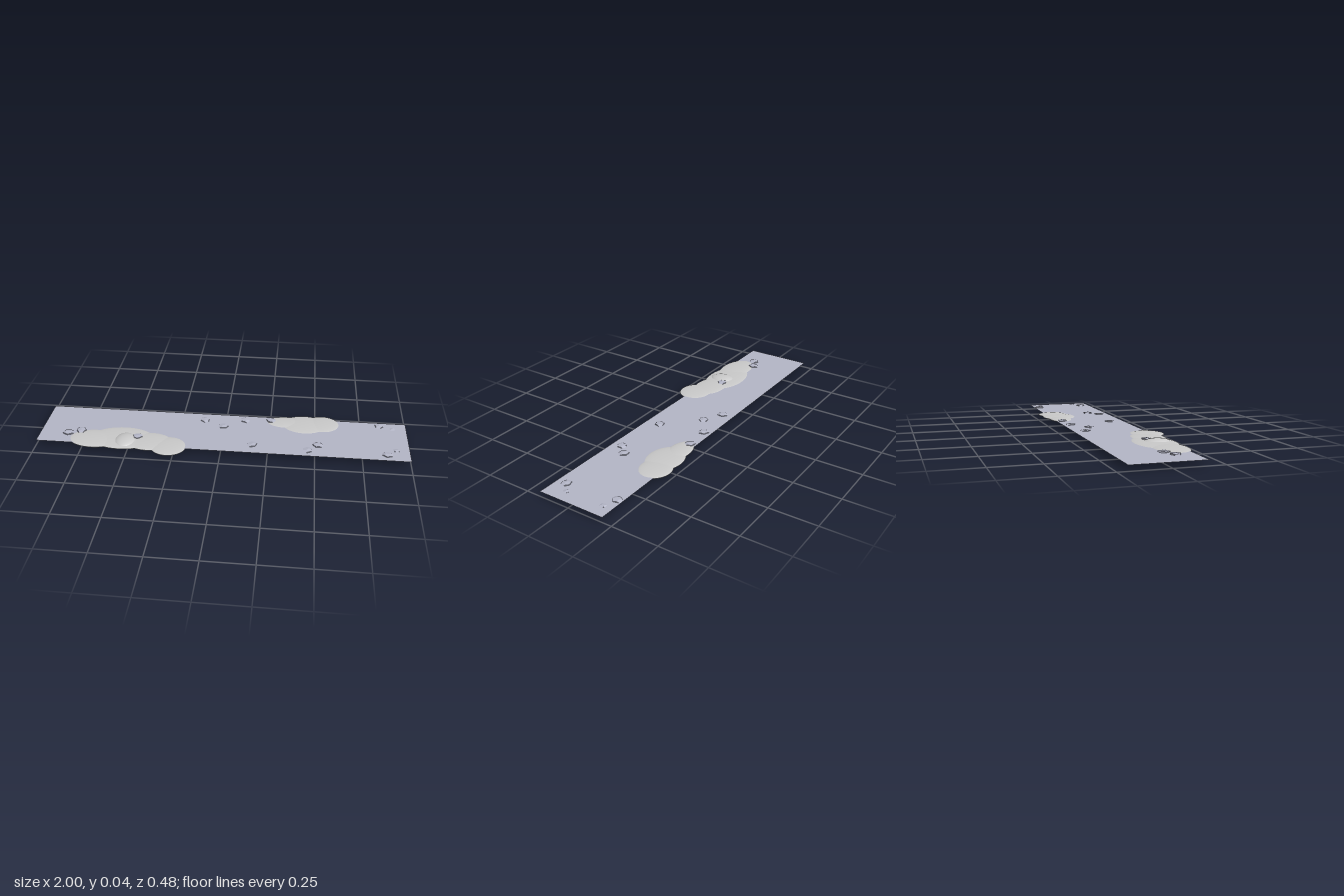
import * as THREE from 'three';

const GROUND_Y = 0.027;

export function createModel() {
  const model = new THREE.Group();
  const earth = new THREE.MeshStandardMaterial({ color: 0xb5b7c8, side: THREE.DoubleSide });
  const stone = new THREE.MeshStandardMaterial({ color: 0xb5b7c8, flatShading: true });
  const snow = new THREE.MeshStandardMaterial({ color: 0xcccccc });

  // Flat ground strip
  const ground = new THREE.Mesh(new THREE.PlaneGeometry(2, 0.37), earth);
  ground.name = 'groundStrip';
  ground.rotation.x = -Math.PI / 2;
  ground.position.set(0, GROUND_Y, -0.015);
  model.add(ground);

  // Squashed spheres overlap into two low patches: [x, z, radiusX, radiusZ, y, halfHeight]
  const ball = new THREE.SphereGeometry(1, 40, 20);
  const addPatch = (name, lobes) => {
    const patch = new THREE.Group();
    patch.name = name;
    for (const [x, z, rx, rz, y = 0.0245, h = 0.008] of lobes) {
      const lobe = new THREE.Mesh(ball, snow);
      lobe.name = h > 0.01 ? 'dome' : 'lobe';
      lobe.position.set(x, y, z);
      lobe.scale.set(rx, h, rz);
      patch.add(lobe);
    }
    model.add(patch);
  };
  addPatch('frontPatch', [
    [-0.69, 0.115, 0.14, 0.088],
    [-0.54, 0.095, 0.18, 0.11],
    [-0.39, 0.115, 0.13, 0.088],
    [-0.28, 0.15, 0.097, 0.09],
    [-0.52, 0.115, 0.06, 0.073, 0.0215, 0.0215],
  ]);
  addPatch('backPatch', [
    [0.34, -0.155, 0.11, 0.06],
    [0.44, -0.14, 0.125, 0.095],
    [0.54, -0.155, 0.095, 0.085],
  ]);

  // Flat faceted pebbles: [x, z, size, height of centre]
  const pebbleShape = new THREE.DodecahedronGeometry(1);
  const pebbles = [
    [-0.845, 0.075, 0.032, 0.03], [-0.78, 0.045, 0.032, 0.03],
    [-0.46, 0.08, 0.03, 0.032], [-0.115, -0.135, 0.03, 0.028],
    [-0.005, -0.08, 0.03, 0.028], [0.11, -0.155, 0.03, 0.028],
    [0.165, 0.09, 0.03, 0.028], [0.255, -0.165, 0.03, 0.03],
    [0.46, 0.115, 0.03, 0.028], [0.515, 0.06, 0.03, 0.029],
    [0.855, -0.17, 0.03, 0.028], [0.88, 0.115, 0.03, 0.028],
    [0.925, -0.145, 0.02, 0.025], [0.93, 0.07, 0.02, 0.025],
  ];
  pebbles.forEach(([x, z, size, y], i) => {
    const pebble = new THREE.Mesh(pebbleShape, stone);
    pebble.name = 'pebble';
    pebble.position.set(x, y, z);
    pebble.rotation.y = i * 1.7;
    pebble.scale.set(size, 0.006, size * 0.9);
    model.add(pebble);
  });

  return model;
}
